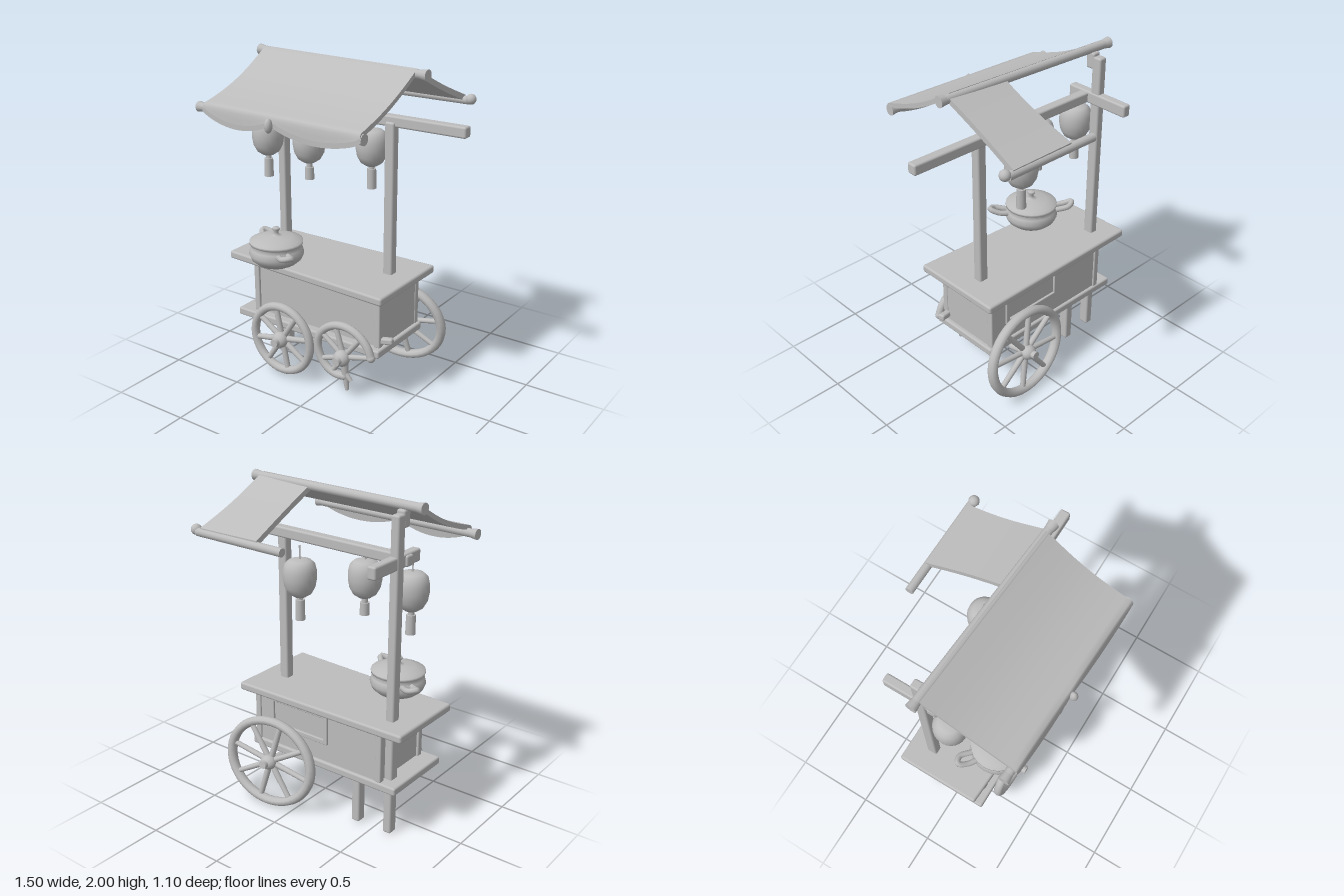
import * as THREE from 'three';
import { RoundedBoxGeometry } from 'three/addons/geometries/RoundedBoxGeometry.js';

const V = (x, y, z) => new THREE.Vector3(x, y, z);

export function createModel() {
  const root = new THREE.Group();
  const clay = new THREE.MeshStandardMaterial({ color: 0xbcbcbc });
  clay.name = 'clay grey';

  const add = (name, geo, parent = root, pos = [0, 0, 0]) => {
    const m = new THREE.Mesh(geo, clay);
    m.name = name;
    m.position.set(...pos);
    parent.add(m);
    return m;
  };
  const group = (name, pos) => {
    const g = new THREE.Group();
    g.name = name;
    g.position.set(...pos);
    root.add(g);
    return g;
  };
  // rounded box given by its limits
  const block = (name, x0, x1, y0, y1, z0, z1, r = 0.012) =>
    add(name, new RoundedBoxGeometry(x1 - x0, y1 - y0, z1 - z0, 2, r), root,
      [(x0 + x1) / 2, (y0 + y1) / 2, (z0 + z1) / 2]);
  // round pole between two points
  const pole = (name, a, b, r0, r1 = r0, parent = root) => {
    const m = add(name, new THREE.CylinderGeometry(r1, r0, a.distanceTo(b), 12), parent);
    m.position.copy(a).lerp(b, 0.5);
    m.quaternion.setFromUnitVectors(V(0, 1, 0), b.clone().sub(a).normalize());
    return m;
  };
  // squared beam between two points
  const beam = (name, a, b, w, h) => {
    const m = add(name, new RoundedBoxGeometry(w, h, a.distanceTo(b), 2, 0.012));
    m.position.copy(a).lerp(b, 0.5);
    m.lookAt(b);
    return m;
  };
  const ball = (name, p, r, sx = 1, sy = 1, sz = 1, parent = root) => {
    const m = add(name, new THREE.SphereGeometry(r, 16, 12), parent, p);
    m.scale.set(sx, sy, sz);
    return m;
  };
  const lathe = (name, pts, parent) =>
    add(name, new THREE.LatheGeometry(pts.map(p => new THREE.Vector2(...p)), 24), parent);

  // Cart body: top slightly skewed in plan
  const top = new RoundedBoxGeometry(1.18, 0.05, 0.57, 2, 0.014);
  const tp = top.attributes.position;
  for (let i = 0; i < tp.count; i++) {
    const t = tp.getX(i) / 1.18 + 0.5;
    if (tp.getZ(i) > 0) tp.setZ(i, tp.getZ(i) - 0.04 + 0.065 * t);
    else tp.setZ(i, tp.getZ(i) - 0.01 * t);
  }
  add('counterTop', top, root, [-0.16, 0.715, -0.01]);
  block('cartBody', -0.57, 0.355, 0.33, 0.70, -0.232, 0.185);
  block('baseBoard', -0.69, 0.38, 0.315, 0.365, -0.25, 0.24);
  for (const x of [-0.565, 0.34]) for (const z of [-0.222, 0.18])
    block('cornerPost', x - 0.02, x + 0.02, 0.36, 0.70, z - 0.02, z + 0.02, 0.008);
  for (const [x0, x1, y0, y1] of [[-0.2, 0.24, 0.65, 0.68], [-0.2, 0.24, 0.48, 0.51], [-0.2, -0.17, 0.48, 0.68], [0.21, 0.24, 0.48, 0.68]])
    block('backPanelFrame', x0, x1, y0, y1, -0.245, -0.225, 0.005);
  beam('endPeg', V(0.33, 0.4, 0.17), V(0.425, 0.41, 0.15), 0.04, 0.04);

  // Legs and upright posts
  block('restLeg', -0.405, -0.35, 0.005, 0.33, -0.195, -0.13);
  block('leftPost', -0.622, -0.568, 0, 1.93, -0.18, -0.115);
  block('ridgeBracket', -0.622, -0.568, 1.85, 1.95, -0.13, -0.07);
  block('rightPost', 0.235, 0.297, 0.73, 1.67, -0.08, -0.02);
  beam('longBeam', V(-0.63, 1.665, -0.07), V(0.745, 1.677, -0.062), 0.062, 0.065);
  beam('crossBeam', V(-0.59, 1.665, -0.38), V(-0.59, 1.67, 0.05), 0.055, 0.075);

  // Roof poles with slightly swollen ends
  const roofPole = (name, a, b, r) => {
    pole(name, a, b, r);
    const d = b.clone().sub(a).normalize().multiplyScalar(0.044);
    pole(name + 'End', a, a.clone().add(d), r * 1.25, r);
    pole(name + 'End', b, b.clone().sub(d), r * 1.25, r);
  };
  roofPole('ridgePole', V(-0.725, 1.968, -0.10), V(0.51, 1.965, -0.02), 0.027);
  pole('backEavePole', V(-0.125, 1.725, -0.53), V(0.5, 1.73, -0.525), 0.025);
  ball('backEaveKnob', [0.515, 1.74, -0.52], 0.032);
  roofPole('frontEavePole', V(-0.745, 1.715, 0.44), V(0.445, 1.715, 0.495), 0.026);
  ball('eaveTie', [-0.17, 1.70, 0.515], 0.032, 0.7, 1.3, 0.8);

  // Cloth sheets: a slab bent by a rule of u (across) and v (ridge to eave)
  const cloth = (name, thick, rule) => {
    const g = new THREE.BoxGeometry(1, thick, 1, 32, 1, 20);
    const p = g.attributes.position;
    for (let i = 0; i < p.count; i++) {
      const q = rule(p.getX(i) + 0.5, p.getZ(i) + 0.5);
      p.setXYZ(i, q.x, q.y + p.getY(i), q.z);
    }
    g.computeVertexNormals();
    return add(name, g);
  };
  const mix = THREE.MathUtils.lerp;
  cloth('frontAwning', 0.03, (u, v) => {
    const x = mix(-0.68, 0.44, u) + 0.015 * Math.sin(Math.PI * v) * (0.5 - u);
    const s = THREE.MathUtils.clamp(x < -0.17 ? (x + 0.67) / 0.5 : (x + 0.17) / 0.61, 0, 1);
    const scallop = Math.sin(Math.PI * s) ** 0.7 || 0;
    const w = Math.min(1, v / 0.86), drop = Math.max(0, (v - 0.86) / 0.14);
    const z = mix(mix(-0.095, -0.025, u), mix(0.475, 0.52, u), w);
    return V(x, mix(1.98, 1.735, w) - 0.03 * Math.sin(Math.PI * w) - drop * (0.02 + 0.065 * scallop), z + 0.008 * drop);
  });
  // Mirrored in depth, so u runs backwards to keep faces outward
  cloth('backAwning', 0.036, (u, v) => V(
    mix(mix(0.455, 0.07, u), mix(0.47, 0.05, u), v) + 0.02 * Math.sin(Math.PI * v) * (u - 0.5),
    mix(1.965, 1.74, v) - 0.006 * Math.sin(Math.PI * v), mix(-0.03, -0.535, v)));

  // Spoked wheels; inner is how far the axle reaches toward the cart
  const hub = (g, out, inner) => {
    ball('hub', [0, 0, 0.02 * out], 0.052, 1, 1, 0.9, g);
    pole('axle', V(0, 0, -inner * out), V(0, 0, 0.085 * out), 0.03, 0.026, g);
  };
  const wheel = (name, pos, r, tube, out, inner) => {
    const g = group(name, pos);
    add('rim', new THREE.TorusGeometry(r - tube, tube, 10, 40), g).scale.z = 1.1;
    for (let i = 0; i < 8; i++) {
      const a = i * Math.PI / 4 + 0.2;
      pole('spoke', V(0, 0, 0), V(Math.cos(a) * (r - tube), Math.sin(a) * (r - tube), 0), 0.02, 0.017, g);
    }
    hub(g, out, inner);
    return g;
  };
  wheel('frontWheel', [-0.315, 0.262, 0.268], 0.24, 0.026, 1, 0.04);
  const big = wheel('backWheel', [0.167, 0.29, -0.335], 0.326, 0.03, -1, 0.11);
  big.rotation.set(0.12, 0.08, 0);
  big.scale.y = 0.87;

  // Broken wheel: rim coils inward and stops, one spoke hangs loose
  const broken = group('brokenWheel', [0.15, 0.275, 0.265]);
  const arc = [];
  for (let i = 0; i <= 14; i++) {
    const a = 0.25 + i / 14 * 4.5, r = 0.202 - 0.075 * Math.max(0, i / 14 - 0.55) / 0.45;
    arc.push(V(Math.cos(a) * r, Math.sin(a) * r, 0));
  }
  add('rim', new THREE.TubeGeometry(new THREE.CatmullRomCurve3(arc), 48, 0.025, 10), broken);
  for (const e of [arc[0], arc[14]]) ball('rimEnd', e.toArray(), 0.026, 1, 1, 1, broken);
  for (const i of [0, 2, 5, 7, 10, 12]) pole('spoke', V(0, 0, 0), arc[i], 0.018, 0.015, broken);
  pole('looseSpoke', V(0, -0.02, 0), V(0.025, -0.215, 0), 0.028, 0.012, broken);
  pole('looseSpoke', V(0.01, -0.1, 0), V(0.055, -0.15, 0), 0.018, 0.012, broken);
  hub(broken, 1, 0.04);

  // Lanterns with tassels
  for (const [x, y, z, low] of [[-0.59, 1.462, 0.015, 1.21], [-0.27, 1.468, 0.02, 1.25], [0.053, 1.455, -0.17, 1.2]]) {
    const g = group('lantern', [x, y, z]);
    lathe('shade', [[0, -0.115], [0.035, -0.112], [0.068, -0.09], [0.09, -0.05], [0.099, 0], [0.098, 0.045], [0.088, 0.085], [0.065, 0.106], [0.035, 0.114], [0, 0.115]], g);
    add('tassel', new THREE.CylinderGeometry(0.028, 0.03, 1.325 - low, 10), g, [0, (1.325 + low) / 2 - y, 0]);
    pole('tasselNeck', V(0, 1.31 - y, 0), V(0, -0.1, 0), 0.018, 0.018, g);
    pole('cord', V(0, 0.1, 0), V(0, 1.65 - y, 0), 0.005, 0.005, g);
  }

  // Cooking pot with lid and two handles
  const pot = group('pot', [-0.4, 0.735, 0.195]);
  lathe('potBowl', [[0, 0], [0.12, 0], [0.155, 0.03], [0.17, 0.065], [0.16, 0.1], [0.145, 0.118], [0.165, 0.13], [0.165, 0.145], [0.14, 0.15]], pot);
  lathe('potLid', [[0.155, 0.14], [0.15, 0.15], [0.1, 0.168], [0.04, 0.176], [0.018, 0.18], [0.014, 0.2], [0.025, 0.217], [0.02, 0.227], [0, 0.228]], pot);
  for (const s of [1, -1]) {
    const pts = [[0.13, 0.09, 0.06], [0.19, 0.1, 0.1], [0.225, 0.122, 0.145], [0.18, 0.11, 0.165], [0.11, 0.09, 0.115]];
    const c = new THREE.CatmullRomCurve3(pts.map(([x, y, z]) => V(s * x, y, s * z)));
    add('potHandle', new THREE.TubeGeometry(c, 24, 0.018, 8), pot);
  }
  return root;
}
